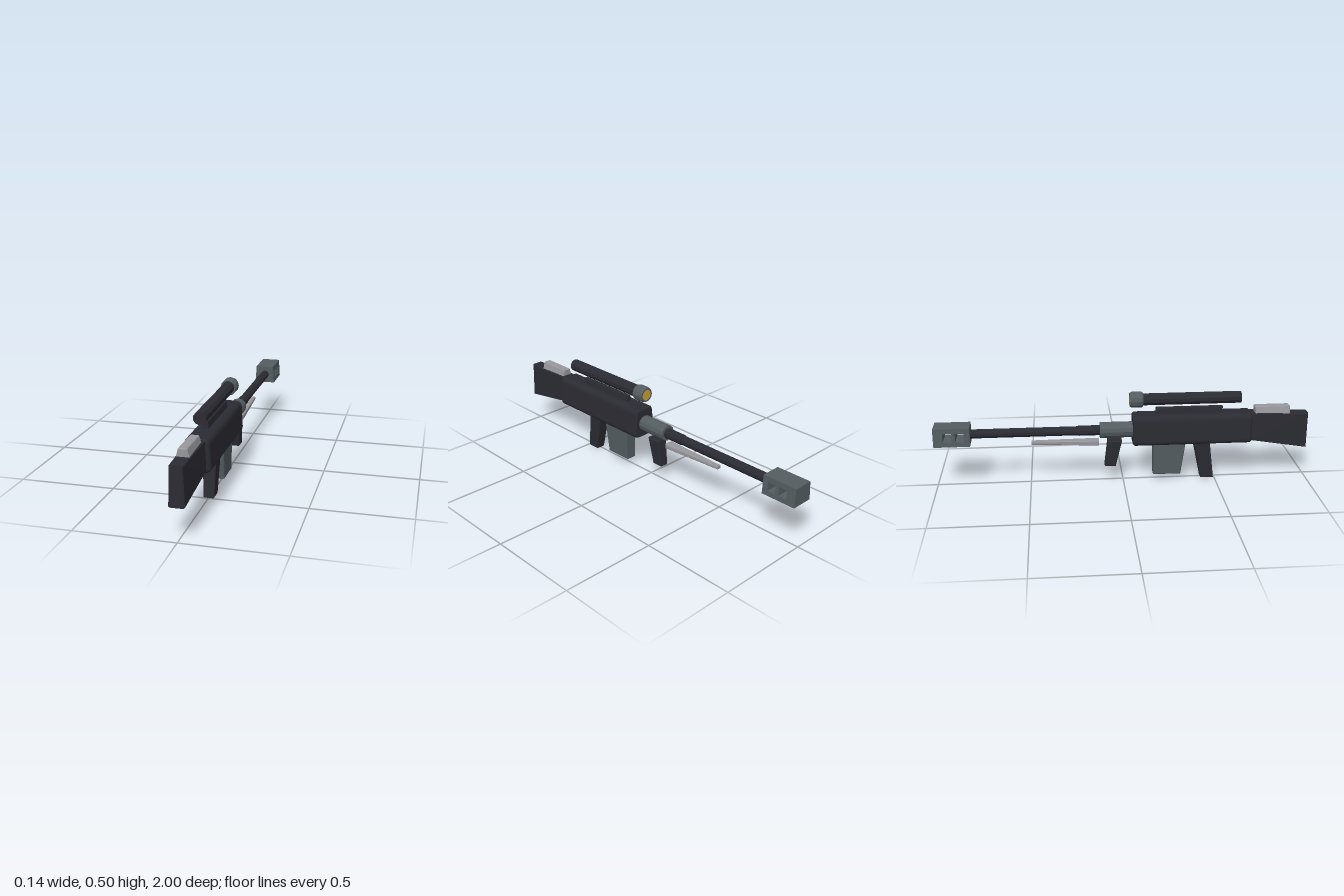
import * as THREE from 'three';

const mat = (name, color) => {
  const m = new THREE.MeshStandardMaterial({ color });
  m.name = name;
  m.flatShading = true;
  return m;
};

export function createModel() {
  const model = new THREE.Group();
  model.name = 'rifle';
  const dark = mat('dark polymer', 0x2b2b33);
  const grey = mat('gunmetal', 0x545d61);
  const light = mat('light steel', 0x97979c);
  const gold = mat('gold glass', 0xc8a032);

  const add = (name, geometry, material) => {
    const mesh = new THREE.Mesh(geometry, material);
    mesh.name = name;
    model.add(mesh);
    return mesh;
  };
  const lerp = THREE.MathUtils.lerp;

  // Bevelled block from a side profile of [z, y] points; halfWidth(y, z) tapers it across x
  const block = (name, profile, halfWidth, material, bevel = 0.006, holes = []) => {
    const toPoints = (pts) => pts.map(([z, y]) => new THREE.Vector2(-z, y));
    const shape = new THREE.Shape(toPoints(profile));
    for (const h of holes) shape.holes.push(new THREE.Path(toPoints(h)));
    const g = new THREE.ExtrudeGeometry(shape, {
      depth: 2 - 0.3 * (bevel > 0 ? 1 : 0), bevelEnabled: bevel > 0,
      bevelThickness: 0.15, bevelSize: bevel, bevelOffset: -bevel, bevelSegments: 1,
    });
    g.rotateY(Math.PI / 2);
    g.translate(bevel > 0 ? -0.85 : -1, 0, 0);
    const p = g.attributes.position;
    for (let i = 0; i < p.count; i++) p.setX(i, p.getX(i) * halfWidth(p.getY(i), p.getZ(i)));
    g.computeVertexNormals();
    return add(name, g, material);
  };
  // Half width running linearly from y0 to y1
  const taper = (y0, w0, y1, w1) => (y) => lerp(w0, w1, (y - y0) / (y1 - y0));

  // Tube along z between z0 (front) and z1 (rear)
  const tube = (name, z0, z1, r, y, material, sides = 12) => {
    const g = new THREE.CylinderGeometry(r, r, z0 - z1, sides);
    g.rotateX(Math.PI / 2);
    g.translate(0, y, (z0 + z1) / 2);
    return add(name, g, material);
  };

  // Receiver: rounded section, slightly narrower at the top
  const s = new THREE.Shape();
  s.moveTo(-0.035, 0.208);
  s.lineTo(0.035, 0.208);
  s.quadraticCurveTo(0.068, 0.21, 0.068, 0.235);
  s.lineTo(0.062, 0.345);
  s.quadraticCurveTo(0.06, 0.372, 0.035, 0.375);
  s.lineTo(-0.035, 0.375);
  s.quadraticCurveTo(-0.06, 0.372, -0.062, 0.345);
  s.lineTo(-0.068, 0.235);
  s.quadraticCurveTo(-0.068, 0.21, -0.035, 0.208);
  const receiver = new THREE.ExtrudeGeometry(s, {
    depth: 0.62, bevelThickness: 0.01, bevelSize: 0.008, bevelOffset: -0.008,
    bevelSegments: 1, curveSegments: 4,
  });
  receiver.translate(0, 0, 0.06);
  add('receiver', receiver, dark);

  // Stock and cheek rest
  block('stock', [[1, 0.165], [1, 0.362], [0.67, 0.37], [0.67, 0.222]],
    (y, z) => lerp(0.047, 0.036, (z - 0.67) / 0.33) * lerp(1.05, 0.88, (y - 0.165) / 0.2), dark, 0.004);
  block('cheekRest', [[0.9, 0.355], [0.9, 0.4], [0.895, 0.404], [0.715, 0.404], [0.71, 0.4], [0.71, 0.355]],
    taper(0.365, 0.031, 0.404, 0.021), light, 0.003);

  // Grips and magazine
  block('rearGrip', [[0.468, 0.215], [0.38, 0.215], [0.425, 0], [0.495, 0]],
    taper(0, 0.028, 0.21, 0.034), dark, 0.004);
  block('magazine', [[0.337, 0.215], [0.163, 0.215], [0.163, 0.03], [0.312, 0.03]],
    taper(0.03, 0.032, 0.21, 0.037), grey, 0.004);
  block('foreGrip', [[-0.007, 0.232], [-0.083, 0.232], [-0.1, 0.085], [-0.041, 0.085]],
    taper(0.085, 0.026, 0.23, 0.031), dark, 0.004);

  // Folded support bar
  block('supportBar', [[-0.13, 0.208], [-0.13, 0.235], [-0.49, 0.236], [-0.49, 0.22]],
    (y, z) => lerp(0.026, 0.013, (-0.13 - z) / 0.36), light, 0.003);

  // Barrel
  tube('barrelCollar', 0.08, -0.125, 0.043, 0.288, grey);
  tube('barrelRoot', -0.12, -0.24, 0.028, 0.288, dark, 10);
  tube('barrel', -0.2, -0.83, 0.025, 0.288, dark, 10);

  // Muzzle brake with two side ports
  const port = (z) => [[z, 0.264], [z, 0.311], [z - 0.045, 0.311], [z - 0.045, 0.264]];
  block('muzzleBrake', [[-0.81, 0.239], [-0.81, 0.338], [-1, 0.338], [-1, 0.239]],
    taper(0.239, 0.059, 0.338, 0.052), grey, 0, [port(-0.84), port(-0.905)]);

  // Scope
  block('scopeRail', [[0.535, 0.365], [0.535, 0.408], [0.175, 0.408], [0.175, 0.365]],
    taper(0.37, 0.016, 0.408, 0.011), dark, 0.003);
  tube('scopeTube', 0.632, 0.09, 0.033, 0.455, dark, 10);
  const ring = new THREE.LatheGeometry([
    [0.03, 0.1], [0.038, 0.105], [0.043, 0.097], [0.043, 0.047], [0.038, 0.035], [0.03, 0.035], [0.03, 0.05],
  ].map(([r, z]) => new THREE.Vector2(r, -z)), 12);
  ring.rotateX(-Math.PI / 2);
  ring.translate(0, 0.455, 0);
  grey.side = THREE.DoubleSide;
  add('scopeRing', ring, grey);
  tube('lens', 0.09, 0.037, 0.03, 0.455, gold);

  return model;
}
